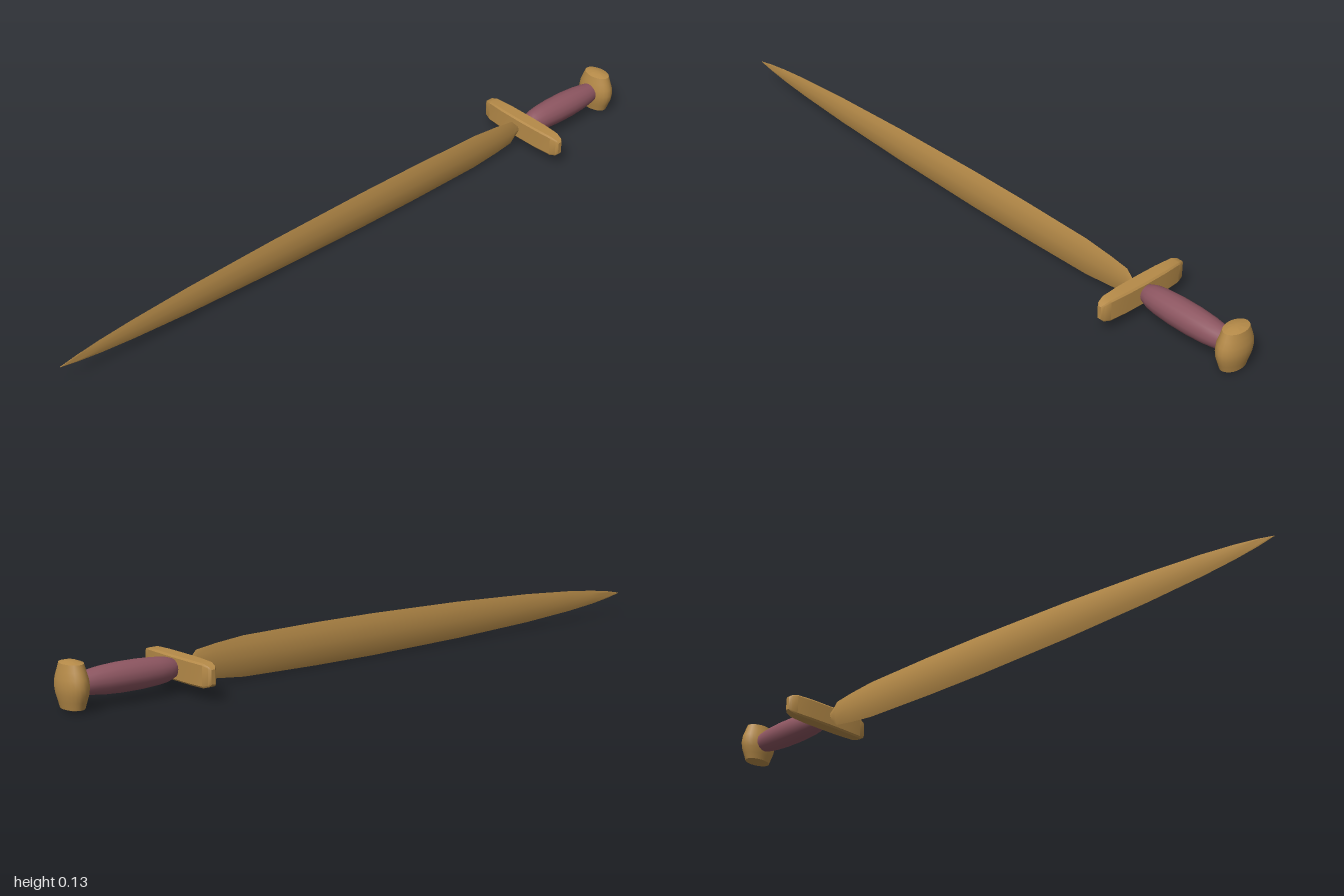
import * as THREE from 'three';
import { toCreasedNormals } from 'three/addons/utils/BufferGeometryUtils.js';

const MID = 0.068; // height of the sword's axis

// Skin over cross-sections along x. Stations are [x, halfY, halfZ];
// section is a counter-clockwise list of [y, z] points in the unit square.
function loft(stations, section, crease) {
  const n = section.length, pos = [], idx = [];
  for (const [x, hy, hz] of stations)
    for (const [y, z] of section) pos.push(x, y * hy, z * hz);
  for (let s = 0; s < stations.length - 1; s++)
    for (let i = 0; i < n; i++) {
      const a = s * n + i, b = s * n + (i + 1) % n;
      idx.push(a, b, a + n, b, b + n, a + n);
    }
  // end caps
  const last = (stations.length - 1) * n;
  for (let i = 1; i < n - 1; i++) {
    idx.push(0, i + 1, i);
    idx.push(last, last + i, last + i + 1);
  }
  const g = new THREE.BufferGeometry();
  g.setAttribute('position', new THREE.Float32BufferAttribute(pos, 3));
  g.setIndex(idx);
  return toCreasedNormals(g, crease);
}

function lathe(profile, segments, crease) {
  const pts = profile.map(([r, y]) => new THREE.Vector2(r, y));
  return toCreasedNormals(new THREE.LatheGeometry(pts, segments), crease);
}

export function createModel() {
  const sword = new THREE.Group();
  const bronze = new THREE.MeshStandardMaterial({ color: 0xb58a48 });
  const leather = new THREE.MeshStandardMaterial({ color: 0x8c5560 });
  const add = (name, geometry, material, x) => {
    const m = new THREE.Mesh(geometry, material);
    m.name = name;
    m.position.set(x, MID, 0);
    sword.add(m);
    return m;
  };

  // leaf-shaped blade with a lens cross-section
  const lens = [[1, 0], [0.6, 0.7], [0, 1], [-0.6, 0.7], [-1, 0], [-0.6, -0.7], [0, -1], [0.6, -0.7]];
  const blade = loft([
    [-1, 0.001, 0.001], [-0.95, 0.011, 0.002], [-0.88, 0.021, 0.003], [-0.78, 0.031, 0.005],
    [-0.6, 0.043, 0.008], [-0.32, 0.054, 0.011], [0, 0.06, 0.013], [0.2, 0.06, 0.013],
    [0.44, 0.056, 0.011], [0.53, 0.047, 0.008], [0.59, 0.038, 0.006], [0.605, 0.022, 0.004], [0.625, 0.003, 0.003],
  ], lens, 0.6);
  add('blade', blade, bronze, 0);

  // crossguard, lofted along x then turned to run along z
  const bar = [[1, -0.8], [1, 0.8], [0.85, 1], [-0.85, 1], [-1, 0.8], [-1, -0.8], [-0.85, -1], [0.85, -1]];
  const half = [[0.151, 0.019, 0.006], [0.144, 0.026, 0.012], [0.125, 0.032, 0.017], [0.07, 0.033, 0.021]];
  const guard = loft([
    ...half.map(([x, y, z]) => [-x, y, z]), [0, 0.033, 0.022], ...half.slice().reverse(),
  ], bar, 0.6);
  add('crossguard', guard, bronze, 0.64).rotation.y = Math.PI / 2;

  // swelling grip
  const grip = lathe([
    [0, -0.14], [0.022, -0.14], [0.028, -0.125], [0.033, -0.11], [0.037, -0.08], [0.04, -0.03], [0.04, 0.03],
    [0.037, 0.08], [0.033, 0.11], [0.029, 0.135], [0, 0.135],
  ], 16, 0.7);
  add('grip', grip, leather, 0.795).rotation.z = -Math.PI / 2;

  // barrel pommel standing upright, oval in plan, with shallow domed ends
  const pommel = lathe([
    [0, -0.064], [0.022, -0.062], [0.042, -0.057], [0.049, -0.038], [0.056, -0.02], [0.059, 0],
    [0.056, 0.02], [0.049, 0.038], [0.042, 0.057], [0.022, 0.062], [0, 0.064],
  ], 24, 0.6);
  add('pommel', pommel, bronze, 0.957).scale.x = 0.64;

  // rest the lowest point on the ground
  const box = new THREE.Box3().setFromObject(sword);
  for (const part of sword.children) part.position.y -= box.min.y;
  return sword;
}
